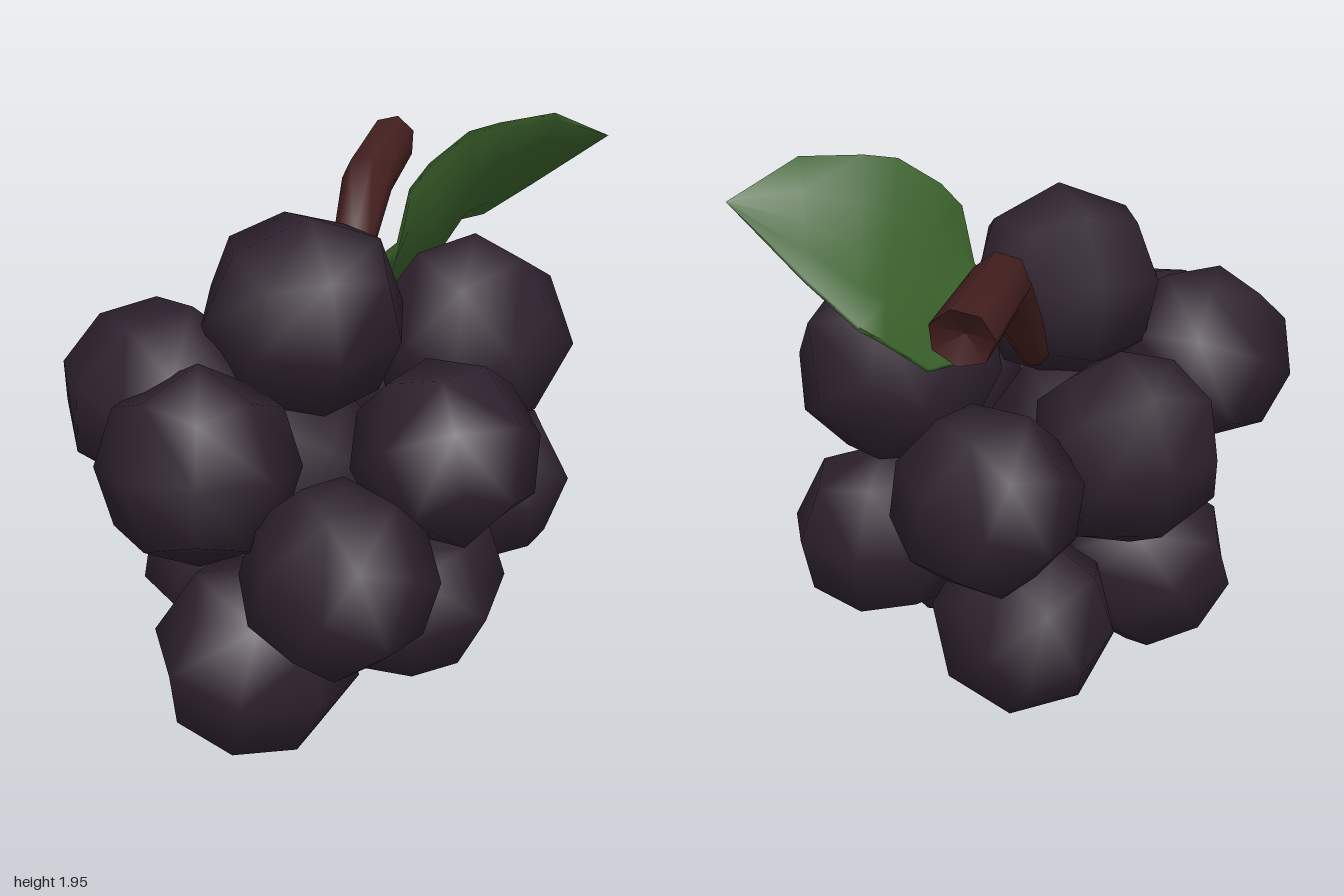
import * as THREE from 'three';

const berryMat = new THREE.MeshStandardMaterial({ color: 0x2c202c });
berryMat.name = 'dark purple';
const stemMat = new THREE.MeshStandardMaterial({ color: 0x441f1f });
stemMat.name = 'reddish brown';
const leafMat = new THREE.MeshStandardMaterial({ color: 0x3a612b });
leafMat.name = 'leaf green';

// Closed skin through rings with equal numbers of points
function skin(rings) {
  const n = rings[0].length, index = [];
  for (let i = 0; i < rings.length - 1; i++) {
    for (let j = 0; j < n; j++) {
      const k = (j + 1) % n, a = i * n + j, b = i * n + k, c = a + n, d = b + n;
      index.push(a, b, c, b, d, c);
    }
  }
  const g = new THREE.BufferGeometry().setFromPoints(rings.flat());
  g.setIndex(index);
  g.computeVertexNormals();
  return g;
}

// Coarse smooth-shaded ball: a divided cube pushed out to a sphere
function makeBall() {
  const g = new THREE.BoxGeometry(2, 2, 2, 2, 2, 2);
  const pos = g.attributes.position, v = new THREE.Vector3();
  for (let i = 0; i < pos.count; i++) {
    v.fromBufferAttribute(pos, i).normalize();
    pos.setXYZ(i, v.x, v.y, v.z);
    g.attributes.normal.setXYZ(i, v.x, v.y, v.z);
  }
  return g;
}

// Berries: x, y, z, radius
const berries = [
  [-0.21, 1.385, 0.13, 0.345], [0.415, 1.2, 0.06, 0.355], [-0.64, 1.01, 0.36, 0.325],
  [0.15, 0.98, 0.47, 0.315], [-0.3, 0.725, 0.7, 0.315], [-0.48, 0.325, 0.4, 0.345],
  [0.1, 0.42, 0.265, 0.35], [0.51, 0.62, 0, 0.312], [-0.67, 1.11, -0.02, 0.325],
  [-0.24, 0.95, -0.35, 0.335], [0.3, 0.92, -0.5, 0.312], [0.13, 0.39, -0.38, 0.32],
  [-0.41, 0.41, -0.17, 0.315], [-0.24, 0.83, 0.05, 0.33],
];

export function createModel() {
  const model = new THREE.Group();

  // Cluster of low-poly round berries, each turned differently
  const cluster = new THREE.Group();
  cluster.name = 'berryCluster';
  const ball = makeBall();
  berries.forEach(([x, y, z, r], i) => {
    const m = new THREE.Mesh(ball, berryMat);
    m.name = 'berry' + (i + 1);
    m.position.set(x, y, z);
    m.scale.setScalar(r);
    m.rotation.set(i * 1.3 + 0.2, i * 2.1, i * 0.7);
    cluster.add(m);
  });
  model.add(cluster);

  // Bent stem: rings along a path, widening to a slanted end
  const path = [[0, 1.24, -0.12, 0.05], [0.12, 1.44, -0.31, 0.075],
    [0.25, 1.63, -0.5, 0.095], [0.52, 1.645, -0.95, 0.095]];
  const pts = path.map(p => new THREE.Vector3(p[0], p[1], p[2]));
  const rings = pts.map((p, i) => {
    const dir = pts[Math.min(i + 1, 3)].clone().sub(pts[Math.max(i - 1, 0)]).normalize();
    const side = new THREE.Vector3(0, 1, 0).cross(dir).normalize();
    const up = dir.clone().cross(side);
    if (i === 3) up.addScaledVector(dir, 0.4);
    return Array.from({ length: 7 }, (_, j) => {
      const a = j / 7 * Math.PI * 2;
      return p.clone().addScaledVector(side, Math.cos(a) * path[i][3])
        .addScaledVector(up, Math.sin(a) * path[i][3]);
    });
  });
  const stem = new THREE.Group();
  stem.name = 'stem';
  const bark = new THREE.Mesh(skin(rings), stemMat);
  bark.name = 'stemBark';
  // Slightly hollowed cut
  const end = rings[3], hollow = pts[3].clone().lerp(pts[2], 0.1);
  const cap = new THREE.Mesh(skin([end, end.map(() => hollow)]), stemMat);
  cap.name = 'stemCutEnd';
  stem.add(bark, cap);
  model.add(stem);

  // Thin cupped leaf: upper edge, control of the sagging midrib, lower edge
  const ribs = [
    [[0.06, 1.4, -0.08], [0.07, 1.38, -0.09], [0.08, 1.37, -0.1]],
    [[0.17, 1.52, 0.0], [0.18, 1.42, -0.07], [0.2, 1.32, -0.2]],
    [[0.2, 1.71, 0.03], [0.25, 1.45, -0.08], [0.3, 1.3, -0.28]],
    [[0.27, 1.79, 0.03], [0.37, 1.48, -0.1], [0.44, 1.32, -0.36]],
    [[0.41, 1.885, 0.03], [0.49, 1.58, -0.11], [0.6, 1.46, -0.44]],
    [[0.52, 1.905, 0.03], [0.58, 1.64, -0.12], [0.66, 1.49, -0.38]],
    [[0.73, 1.92, 0.02], [0.73, 1.73, -0.11], [0.79, 1.62, -0.26]],
    [[0.97, 1.83, -0.05], [0.97, 1.83, -0.05], [0.97, 1.83, -0.05]],
  ];
  const thickness = new THREE.Vector3(0, 0.018, -0.018);
  const leafRings = ribs.map((r, i) => {
    const under = new THREE.QuadraticBezierCurve3(
      ...r.map(p => new THREE.Vector3(...p))).getPoints(4);
    const amount = i < ribs.length - 1 ? 1 : 0;
    const over = under.map(p => p.clone().addScaledVector(thickness, amount)).reverse();
    return [...under, ...over];
  });
  const leaf = new THREE.Mesh(skin(leafRings), leafMat);
  leaf.name = 'leaf';
  model.add(leaf);

  return model;
}
